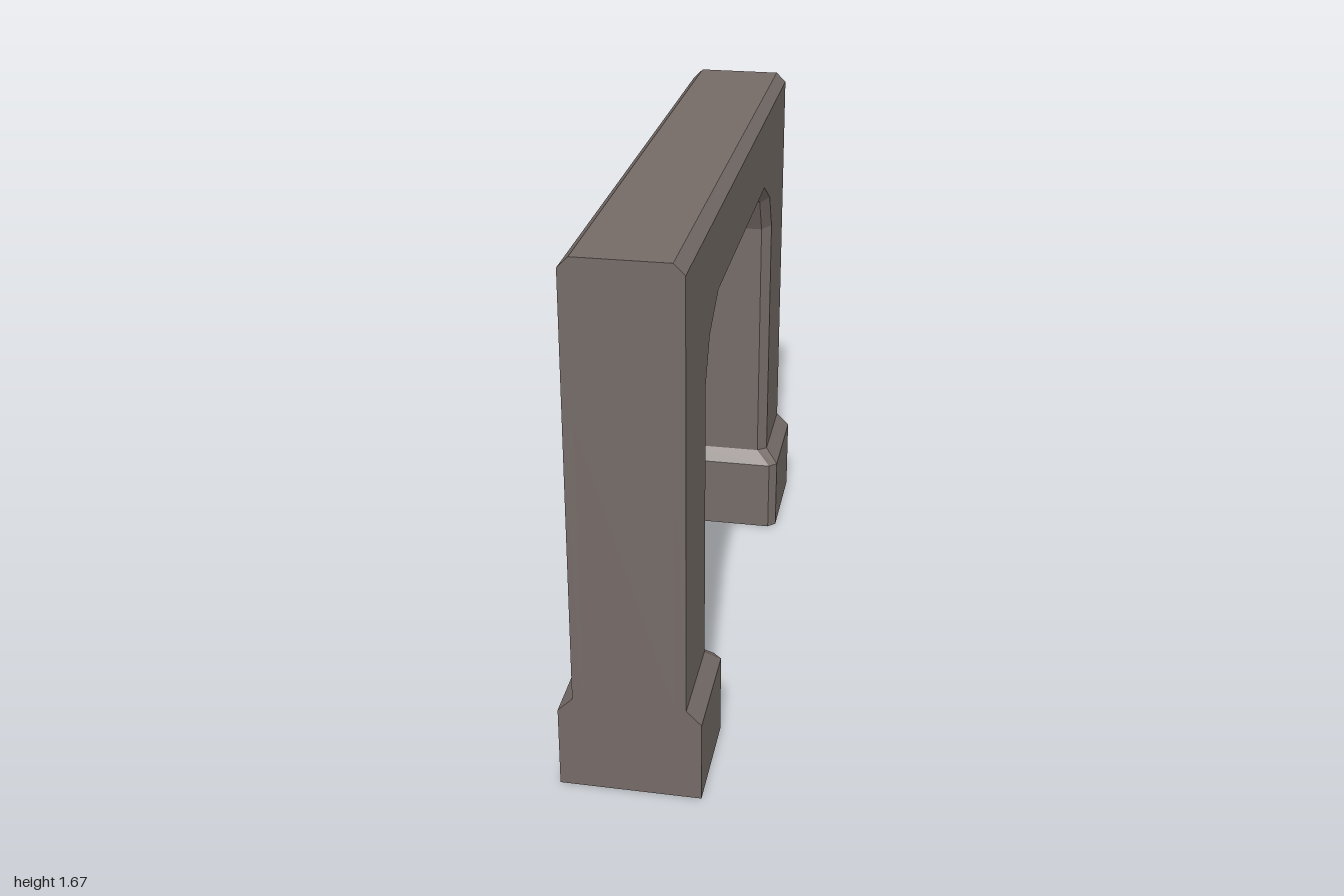
import * as THREE from 'three';

const stone = new THREE.MeshStandardMaterial({ color: 0x756b67, flatShading: true });
stone.name = 'warmGreyStone';

// Skin a list of matching rings with flat faces; cap the first ring if asked.
function loft(rings, capStart) {
  const pos = [];
  const tri = (...pts) => pts.forEach((p) => pos.push(...p));
  for (let k = 0; k + 1 < rings.length; k++) {
    const r = rings[k], s = rings[k + 1], n = r.length;
    for (let i = 0; i < n; i++) {
      const j = (i + 1) % n;
      tri(r[i], s[j], r[j]);
      tri(r[i], s[i], s[j]);
    }
  }
  if (capStart) {
    const r = rings[0];
    for (let i = 1; i + 1 < r.length; i++) tri(r[0], r[i], r[i + 1]);
  }
  const geo = new THREE.BufferGeometry();
  geo.setAttribute('position', new THREE.Float32BufferAttribute(pos, 3));
  geo.computeVertexNormals();
  return geo;
}

const W = 0.168;       // half width of the arch
const B = 0.136;       // half width inside the bevels
const FOOT_TOP = 0.305;

// Arch stations as [z, y]: bevel inner edge, bevel side edge, outer side edge, outer middle edge
const half = [
  [[0.667, FOOT_TOP], [0.692, FOOT_TOP], [1, FOOT_TOP], [1, FOOT_TOP]],
  [[0.667, 1.185], [0.692, 1.195], [1, 1.19], [1, 1.19]],
  [[0.607, 1.303], [0.626, 1.32], [1, 1.635], [1, 1.667]],
  [[0.474, 1.379], [0.48, 1.4], [0.48, 1.635], [0.48, 1.667]],
];
const mirrored = half.map((st) => st.map(([z, y]) => [-z, y])).reverse();

function archRing([inner, side, outSide, outMid]) {
  const right = [[B, inner], [W, side], [W, outSide], [B, outMid]];
  const left = right.map(([x, p]) => [-x, p]).reverse();
  return [...right, ...left].map(([x, [z, y]]) => [x, y, z]);
}

// Foot outline at one height: flush outer end, chamfered inner corners
function footRing(y, w, b, zSide, zInner) {
  return [[w, y, 1], [-w, y, 1], [-w, y, zSide], [-b, y, zInner], [b, y, zInner], [w, y, zSide]];
}

export function createModel() {
  const model = new THREE.Group();
  model.name = 'stoneArch';

  // Two legs and lintel in one bevelled body
  const arch = new THREE.Mesh(loft([...half, ...mirrored].map(archRing), false), stone);
  arch.name = 'archBody';
  model.add(arch);

  // Plinths with a sloped shoulder under each leg
  const footGeo = loft([
    footRing(0, 0.213, 0.187, 0.655, 0.63),
    footRing(0.26, 0.213, 0.187, 0.655, 0.63),
    footRing(FOOT_TOP, W, B, 0.692, 0.667),
  ], true);
  ['frontFoot', 'backFoot'].forEach((name, i) => {
    const foot = new THREE.Mesh(footGeo, stone);
    foot.name = name;
    foot.rotation.y = i * Math.PI;
    model.add(foot);
  });

  return model;
}
